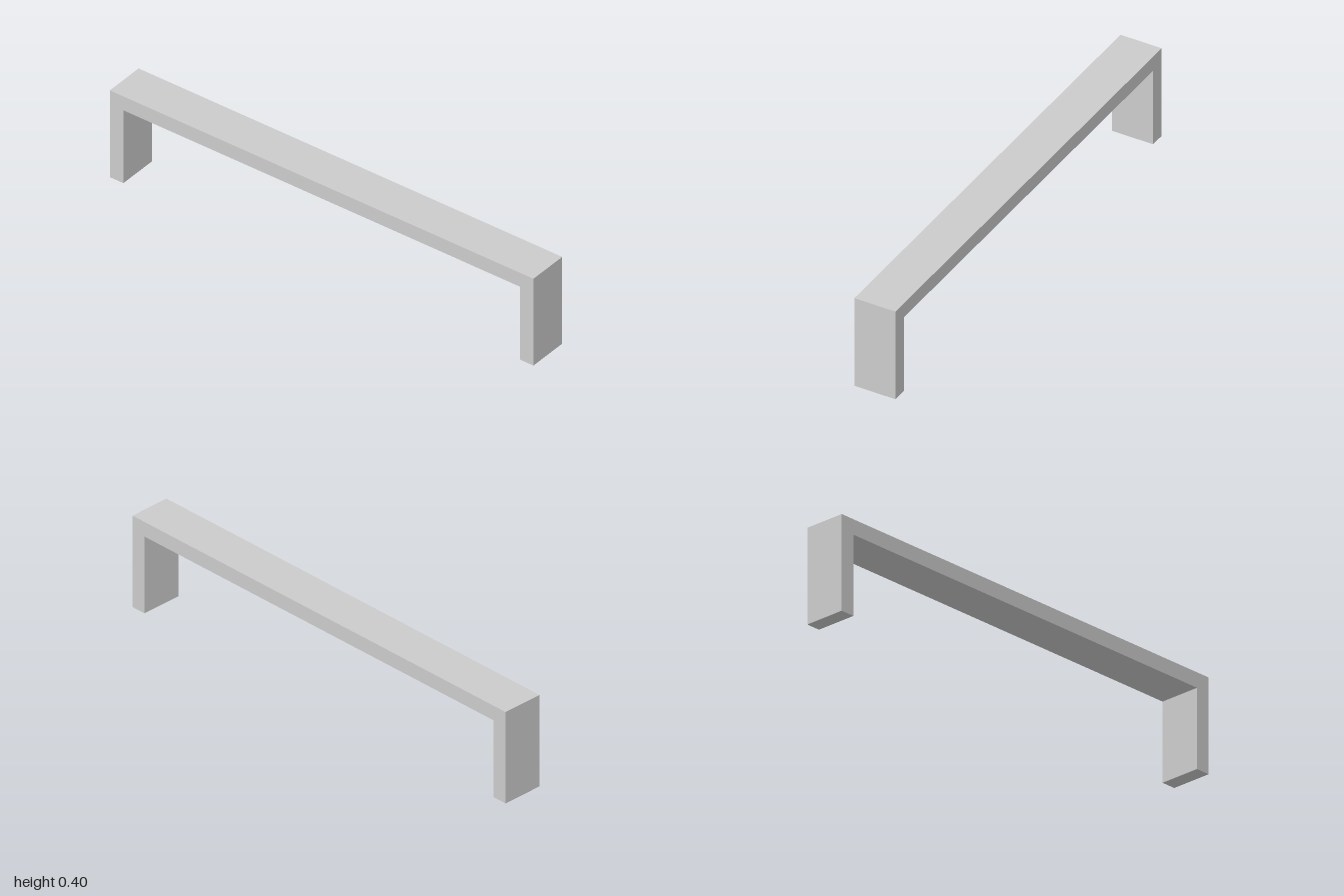
import * as THREE from 'three';

const LENGTH = 2, HEIGHT = 0.4, WIDTH = 0.178, THICKNESS = 0.064;

export function createModel() {
  const group = new THREE.Group();
  group.name = 'barHandle';

  // U-shaped side profile: two legs joined by a flat bar
  const outer = LENGTH / 2, inner = outer - THICKNESS, under = HEIGHT - THICKNESS;
  const profile = new THREE.Shape([
    [-outer, 0], [-inner, 0], [-inner, under], [inner, under],
    [inner, 0], [outer, 0], [outer, HEIGHT], [-outer, HEIGHT],
  ].map(([x, y]) => new THREE.Vector2(x, y)));

  // Extrude across the width, then turn the length along z
  const geometry = new THREE.ExtrudeGeometry(profile, { depth: WIDTH, bevelEnabled: false });
  geometry.translate(0, 0, -WIDTH / 2);
  geometry.rotateY(-Math.PI / 2);

  const handle = new THREE.Mesh(
    geometry,
    new THREE.MeshStandardMaterial({ color: 0xcccccc, flatShading: true })
  );
  handle.name = 'handle';
  group.add(handle);
  return group;
}
